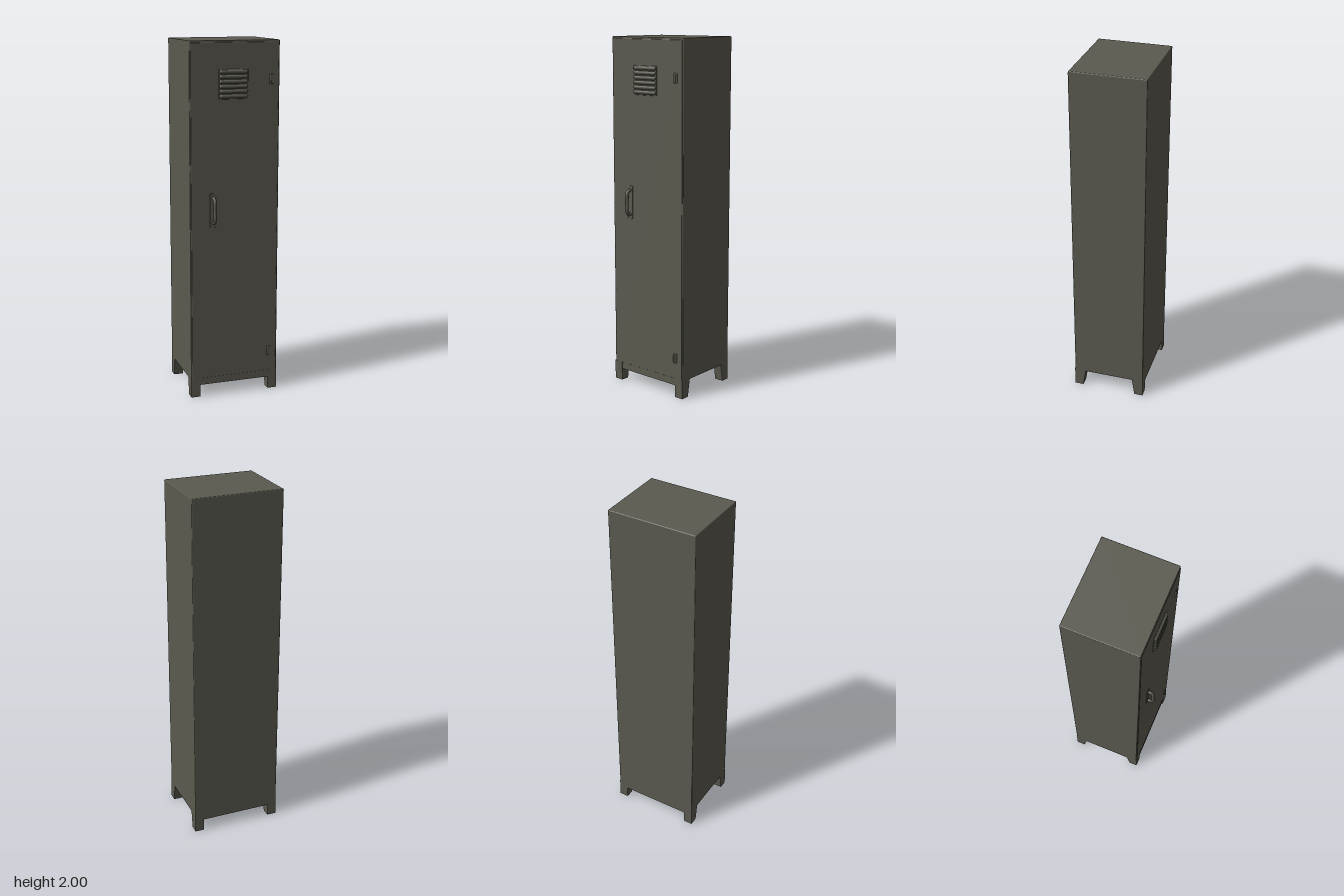
import * as THREE from 'three';
import { RoundedBoxGeometry } from 'three/addons/geometries/RoundedBoxGeometry.js';

const W = 0.514, FRONT = 0.19, BACK = -0.23;

export function createModel() {
  const locker = new THREE.Group();
  locker.name = 'locker';
  const paint = new THREE.MeshStandardMaterial({ color: 0x5b5a50 });
  paint.name = 'grey green paint';

  const add = (name, geometry, x = 0, y = 0, z = 0) => {
    const mesh = new THREE.Mesh(geometry, paint);
    mesh.name = name;
    mesh.position.set(x, y, z);
    locker.add(mesh);
    return mesh;
  };

  // Cabinet, its underside raised behind the skirts
  const bodyFront = FRONT - 0.003;
  add('cabinet', new RoundedBoxGeometry(W, 1.9, bodyFront - BACK, 2, 0.005),
    0, 1.05, (bodyFront + BACK) / 2);

  // Door, slightly proud of the cabinet
  add('door', new RoundedBoxGeometry(W - 0.012, 1.88, 0.008, 2, 0.003), 0, 1.05, FRONT - 0.004);

  // Skirts between the legs
  add('frontSkirt', new THREE.BoxGeometry(W - 0.02, 0.05, 0.018), 0, 0.095, FRONT - 0.01);
  add('backSkirt', new THREE.BoxGeometry(W - 0.02, 0.05, 0.018), 0, 0.095, BACK + 0.01);

  // Four legs, tapering along the depth
  const legWidth = 0.053;
  const legShape = new THREE.Shape([
    new THREE.Vector2(0, 0), new THREE.Vector2(0.05, 0),
    new THREE.Vector2(0.066, 0.1), new THREE.Vector2(0.066, 0.112),
    new THREE.Vector2(0, 0.112),
  ]);
  const leg = new THREE.ExtrudeGeometry(legShape, { depth: legWidth, bevelEnabled: false });
  for (const side of [-1, 1]) {
    const inner = side * (W / 2 - legWidth), outer = side * W / 2;
    const front = add('frontLeg', leg, Math.min(inner, outer), 0, FRONT);
    front.rotation.y = Math.PI / 2;
    const back = add('backLeg', leg, Math.max(inner, outer), 0, BACK);
    back.rotation.y = -Math.PI / 2;
  }

  // Louvred vent
  add('ventPlate', new RoundedBoxGeometry(0.168, 0.16, 0.008, 2, 0.003), -0.01, 1.767, FRONT);
  const louver = new THREE.CapsuleGeometry(0.011, 0.14, 4, 12);
  louver.rotateZ(Math.PI / 2);
  louver.scale(1, 1, 1.2);
  for (let i = 0; i < 6; i++) add('louver', louver, -0.01, 1.703 + i * 0.0262, FRONT + 0.002);

  // Handle: a bent bar on a thin plate
  add('handlePlate', new RoundedBoxGeometry(0.036, 0.19, 0.006, 2, 0.002), -0.125, 1.08, FRONT);
  const path = new THREE.CatmullRomCurve3([
    [1.012, 0.18], [1.012, 0.207], [1.03, 0.221], [1.08, 0.221],
    [1.13, 0.221], [1.148, 0.207], [1.148, 0.18],
  ].map(([y, z]) => new THREE.Vector3(-0.125, y, z)));
  add('handle', new THREE.TubeGeometry(path, 32, 0.0095, 10));

  // Hinges
  for (const y of [0.23, 1.79]) {
    add('hingePlate', new RoundedBoxGeometry(0.024, 0.056, 0.008, 2, 0.003), 0.208, y, FRONT);
    add('hingePin', new THREE.CapsuleGeometry(0.006, 0.04, 4, 10), 0.201, y, FRONT + 0.003);
  }

  return locker;
}
